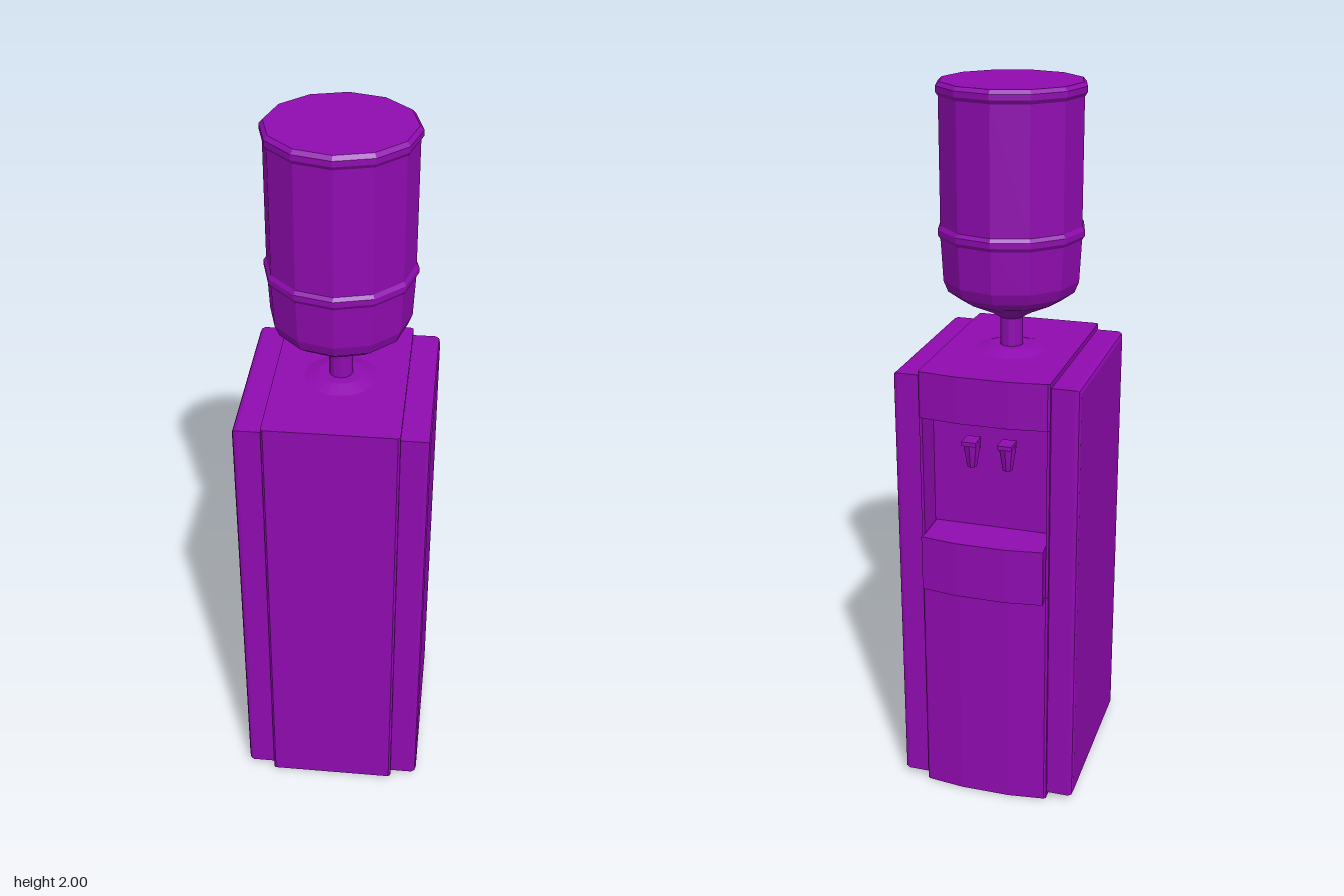
import * as THREE from 'three';

const material = new THREE.MeshStandardMaterial({ color: 0x900bb0, flatShading: true });

export function createModel() {
  const group = new THREE.Group();
  const add = (name, geometry, x = 0, y = 0, z = 0) => {
    const mesh = new THREE.Mesh(geometry, material);
    mesh.name = name;
    mesh.position.set(x, y, z);
    group.add(mesh);
    return mesh;
  };
  // Upright prism from a footprint of [x, z] points
  const prism = (name, points, y0, y1) => {
    const shape = new THREE.Shape(points.map(([x, z]) => new THREE.Vector2(x, -z)));
    const geometry = new THREE.ExtrudeGeometry(shape, { depth: y1 - y0, bevelEnabled: false });
    geometry.rotateX(-Math.PI / 2);
    return add(name, geometry, 0, y0, 0);
  };
  // Complete a half footprint (+x side) by mirroring
  const mirrored = (half) => [...half, ...half.map(([x, z]) => [-x, z]).reverse()];

  // Cabinet: lower door block, recessed middle and top block
  const footprint = mirrored([[0.174, 0.288], [0.18, 0.282], [0.18, -0.249], [0.174, -0.254], [0.07, -0.267]]);
  const recess = mirrored([[0.174, 0.288], [0.18, 0.282], [0.18, -0.249], [0.172, -0.249], [0.172, -0.16]]);
  prism('lowerCabinet', footprint, 0, 0.66);
  prism('recessWalls', recess, 0.66, 1.15);
  prism('upperCabinet', footprint, 1.15, 1.28);

  // Drip tray shelf bulging out of the bowed face
  prism('dripTray', mirrored([[0.169, -0.15], [0.169, -0.25], [0.172, -0.277], [0.07, -0.291]]), 0.65, 0.81);

  // Side panels, bevelled on their outer edges only
  const b = 0.013, w = 0.515, h = 1.25;
  const rect = new THREE.Shape([
    [-w / 2 + b, -h / 2 + b], [w / 2 - b, -h / 2 + b], [w / 2 - b, h / 2 - b], [-w / 2 + b, h / 2 - b],
  ].map(([x, y]) => new THREE.Vector2(x, y)));
  for (const side of [1, -1]) {
    const panel = new THREE.ExtrudeGeometry(rect, {
      depth: 0.081 - b, bevelThickness: b, bevelSize: b, bevelSegments: 2,
    });
    const p = panel.attributes.position;
    for (let i = 0; i < p.count; i++) p.setZ(i, Math.max(p.getZ(i), 0));
    panel.rotateY(side * Math.PI / 2);
    panel.computeVertexNormals();
    add(side > 0 ? 'leftPanel' : 'rightPanel', panel, side * 0.176, 0.64, 0.0175);
  }

  // Taps: stem from the back wall, tapered body, and a push lever
  for (const x of [0.05, -0.05]) {
    add('tapStem', new THREE.BoxGeometry(0.024, 0.024, 0.05), x, 1.055, -0.175);
    add('tapBody', new THREE.CylinderGeometry(0.025, 0.014, 0.07, 8), x, 1.04, -0.2);
    add('tapLever', new THREE.BoxGeometry(0.04, 0.012, 0.05), x, 1.078, -0.205);
  }

  // Shallow collar under the bottle
  add('collar', new THREE.CylinderGeometry(0.06, 0.1, 0.012, 24), 0, 1.286, 0.01);

  // Twelve-sided upturned bottle
  const profile = [
    [0, 1.28], [0.032, 1.28], [0.032, 1.37], [0.075, 1.395], [0.14, 1.425], [0.175, 1.45], [0.187, 1.48],
    [0.193, 1.595], [0.2, 1.605], [0.2, 1.62], [0.193, 1.63], [0.193, 1.965], [0.2, 1.975], [0.2, 1.99],
    [0.19, 2], [0, 2],
  ].map(([r, y]) => new THREE.Vector2(r, y));
  add('bottle', new THREE.LatheGeometry(profile, 12), 0, 0, 0.01);

  return group;
}
